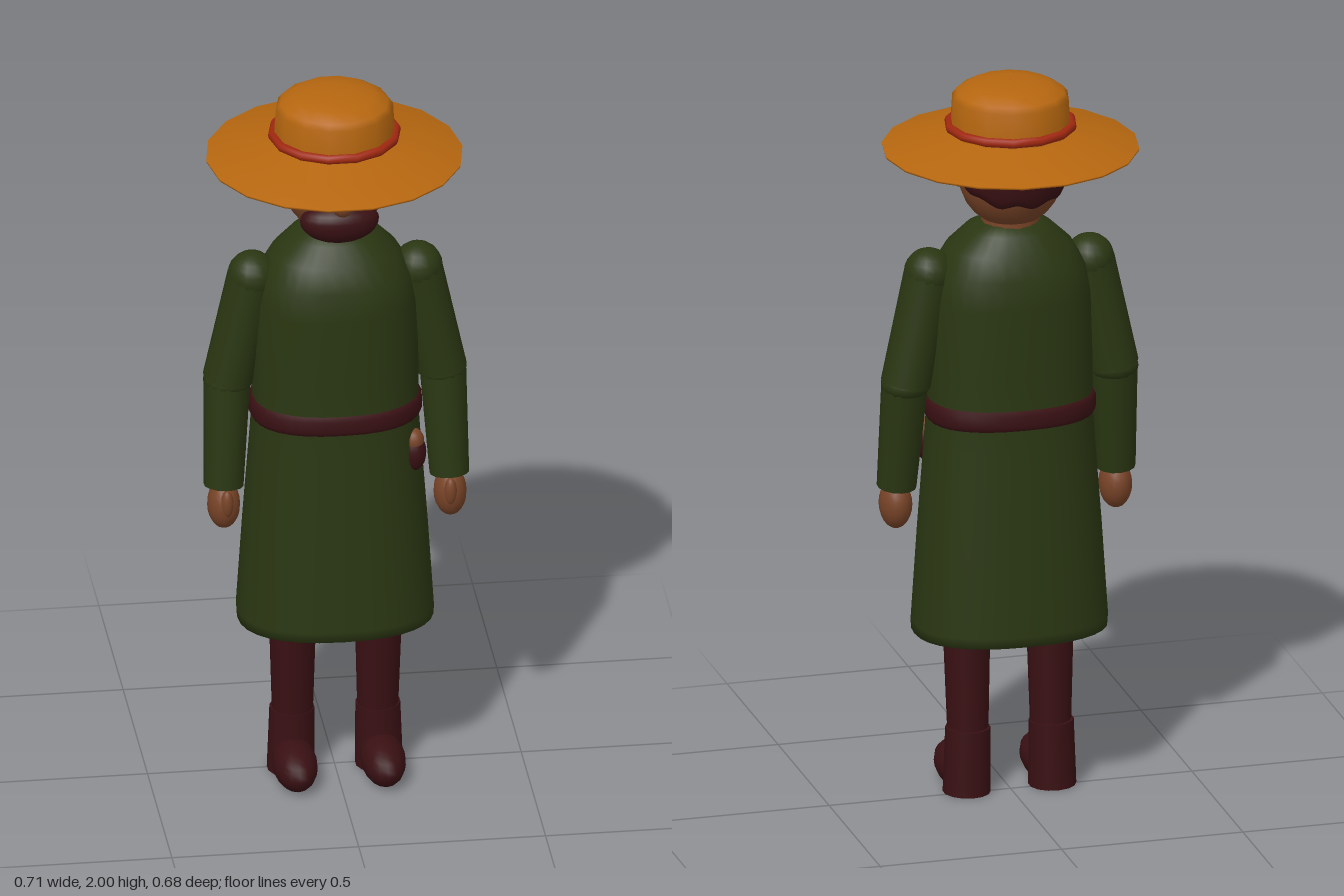
import * as THREE from 'three';

const mat = (name, color, side = THREE.FrontSide) => {
  const m = new THREE.MeshStandardMaterial({ color, side });
  m.name = name;
  return m;
};

export function createModel() {
  const root = new THREE.Group();
  root.name = 'farmer';
  const straw = mat('straw', 0xb5660f, THREE.DoubleSide);
  const red = mat('hatBandRed', 0xa02810);
  const green = mat('coatGreen', 0x2a3612);
  const leather = mat('darkBrown', 0x391013, THREE.DoubleSide);
  const skin = mat('skin', 0x774327);
  const black = mat('eyeBlack', 0x1c0808);

  const add = (name, geo, material, x = 0, y = 0, z = 0, parent = root) => {
    const m = new THREE.Mesh(geo, material);
    m.name = name;
    m.position.set(x, y, z);
    parent.add(m);
    return m;
  };
  const ball = (name, material, p, r, parent = root, seg = 16) => {
    const m = add(name, new THREE.SphereGeometry(1, seg, 12), material, ...p, parent);
    m.scale.set(...r);
    return m;
  };
  // Tapered limb between two points
  const limb = (name, material, a, b, ra, rb, parent) => {
    const A = new THREE.Vector3(...a), B = new THREE.Vector3(...b);
    const d = A.clone().sub(B);
    const m = add(name, new THREE.CylinderGeometry(ra, rb, d.length(), 14), material, 0, 0, 0, parent);
    m.position.copy(A).add(B).multiplyScalar(0.5);
    m.quaternion.setFromUnitVectors(new THREE.Vector3(0, 1, 0), d.normalize());
    return m;
  };
  // Closed loft through rounded-oval rings [y, half width, half depth, z centre], bottom to top
  const loft = (rings, seg = 32, power = 0.85) => {
    const pos = [], idx = [];
    const curve = (v) => Math.sign(v) * Math.abs(v) ** power;
    for (const [y, rx, rz, cz] of rings)
      for (let i = 0; i < seg; i++) {
        const t = (i / seg) * Math.PI * 2;
        pos.push(rx * curve(Math.sin(t)), y, cz + rz * curve(Math.cos(t)));
      }
    for (let j = 0; j < rings.length - 1; j++)
      for (let i = 0; i < seg; i++) {
        const a = j * seg + i, b = j * seg + (i + 1) % seg;
        idx.push(a, b, a + seg, b, b + seg, a + seg);
      }
    const g = new THREE.BufferGeometry();
    g.setAttribute('position', new THREE.Float32BufferAttribute(pos, 3));
    g.setIndex(idx);
    g.computeVertexNormals();
    return g;
  };

  // Long coat with a closed hem and rounded shoulders
  add('coat', loft([
    [0.47, 0.001, 0.001, 0.012], [0.46, 0.24, 0.17, 0.012], [0.462, 0.262, 0.189, 0.012],
    [0.49, 0.263, 0.19, 0.012], [0.75, 0.246, 0.179, 0.012], [1.0, 0.227, 0.168, 0.013],
    [1.09, 0.221, 0.163, 0.013], [1.2, 0.222, 0.165, 0.013], [1.4, 0.217, 0.167, 0.013],
    [1.48, 0.203, 0.163, 0.013], [1.54, 0.168, 0.135, 0.01], [1.59, 0.115, 0.105, 0.005],
    [1.612, 0.07, 0.07, 0], [1.615, 0.001, 0.001, 0],
  ]), green);
  add('belt', loft([
    [1.058, 0.2, 0.14, 0.013], [1.06, 0.222, 0.163, 0.013], [1.075, 0.231, 0.17, 0.013],
    [1.105, 0.231, 0.17, 0.013], [1.12, 0.222, 0.163, 0.013], [1.122, 0.2, 0.14, 0.013],
  ]), leather);

  // Pouch with a skin-toned flap
  const pouch = new THREE.Group();
  pouch.name = 'pouch';
  root.add(pouch);
  ball('pouchBody', leather, [0.2, 0.965, 0.1], [0.033, 0.053, 0.035], pouch);
  ball('pouchTop', skin, [0.2, 1.0, 0.1], [0.027, 0.034, 0.03], pouch);

  for (const s of [1, -1]) {
    const side = s > 0 ? 'left' : 'right';
    // Arm
    const arm = new THREE.Group();
    arm.name = side + 'Arm';
    root.add(arm);
    const shoulder = [s * 0.222, 1.475, 0.013], elbow = [s * 0.287, 1.17, 0.008];
    ball('shoulder', green, shoulder, [0.066, 0.067, 0.068], arm);
    limb('upperSleeve', green, shoulder, elbow, 0.066, 0.067, arm);
    ball('elbow', green, elbow, [0.066, 0.045, 0.067], arm);
    limb('lowerSleeve', green, [s * 0.288, 1.19, 0.008], [s * 0.302, 0.872, 0.043], 0.063, 0.053, arm);
    ball('hand', skin, [s * 0.303, 0.82, 0.05], [0.044, 0.068, 0.056], arm);
    ball('thumb', skin, [s * 0.299, 0.838, 0.094], [0.017, 0.04, 0.018], arm);

    // Leg and boot
    const leg = new THREE.Group();
    leg.name = side + 'Leg';
    root.add(leg);
    limb('trouserLeg', leather, [s * 0.115, 0.52, 0.024], [s * 0.114, 0.15, 0.012], 0.065, 0.054, leg);
    limb('bootShaft', leather, [s * 0.115, 0.187, 0.01], [s * 0.118, 0.005, 0.01], 0.06, 0.064, leg);
    const toe = new THREE.SphereGeometry(1, 16, 12);
    const p = toe.attributes.position;
    for (let i = 0; i < p.count; i++) p.setY(i, Math.max(p.getY(i), -0.8));
    toe.computeVertexNormals();
    add('bootToe', toe, leather, s * 0.118, 0.055, 0.09, leg).scale.set(0.06, 0.062, 0.12);

    // Ear and eye
    ball(side + 'Ear', skin, [s * 0.143, 1.76, 0.008], [0.016, 0.048, 0.03]);
    ball(side + 'Eye', black, [s * 0.05, 1.786, 0.127], [0.013, 0.026, 0.012]);
  }

  // Head
  ball('head', skin, [0, 1.74, 0], [0.141, 0.145, 0.141], root, 24);
  limb('neck', skin, [0, 1.66, 0], [0, 1.58, 0], 0.075, 0.08, root);
  ball('nose', skin, [0, 1.748, 0.168], [0.031, 0.036, 0.037]);

  // Beard: flattened ellipsoid with a level top edge
  const beardGeo = new THREE.SphereGeometry(1, 20, 14);
  const bp = beardGeo.attributes.position;
  for (let i = 0; i < bp.count; i++) {
    const y = bp.getY(i);
    if (y > 0) bp.setY(i, y * 0.75);
  }
  beardGeo.computeVertexNormals();
  const beard = add('beard', beardGeo, leather, 0, 1.672, 0.105);
  beard.scale.set(0.106, 0.064, 0.06);
  beard.rotation.x = -0.15;

  // Hair shell around the back, with a wavy lower edge tucked into the head
  const cols = 28, rows = 8, hp = [], hi = [];
  for (let j = 0; j <= rows; j++)
    for (let i = 0; i <= cols; i++) {
      const a = -1.62 + (i / cols) * 3.24;
      const low = 1.69 + 0.085 * (Math.abs(a) / 1.62) ** 3 + 0.007 * Math.sin(a * 9);
      const y = 1.85 + (low - 1.85) * Math.min(j, rows - 1) / (rows - 1);
      const edge = j === rows || i === 0 || i === cols;
      const r = (edge ? 0.13 : 0.16) * Math.sqrt(1 - ((y - 1.765) / 0.17) ** 2);
      hp.push(Math.sin(a) * r * 0.94, y, -0.006 - Math.cos(a) * r);
    }
  for (let j = 0; j < rows; j++)
    for (let i = 0; i < cols; i++) {
      const a = j * (cols + 1) + i, b = a + cols + 1;
      hi.push(a, a + 1, b, a + 1, b + 1, b);
    }
  const hairGeo = new THREE.BufferGeometry();
  hairGeo.setAttribute('position', new THREE.Float32BufferAttribute(hp, 3));
  hairGeo.setIndex(hi);
  hairGeo.computeVertexNormals();
  add('hair', hairGeo, leather);

  // Hat
  const hat = new THREE.Group();
  hat.name = 'hat';
  root.add(hat);
  const lathe = (name, pts, seg) => {
    const g = new THREE.LatheGeometry(pts.map((q) => new THREE.Vector2(...q)), seg);
    add(name, g, straw, 0, 0, 0, hat).rotation.y = Math.PI / seg;
  };
  lathe('hatBrim', [[0.001, 1.838], [0.15, 1.835], [0.25, 1.825], [0.342, 1.81],
    [0.343, 1.816], [0.25, 1.84], [0.165, 1.862], [0.15, 1.866]], 18);
  lathe('hatCrown', [[0.165, 1.855], [0.161, 1.89], [0.157, 1.955], [0.145, 1.97],
    [0.11, 1.99], [0.055, 1.999], [0.001, 2.0]], 14);
  const band = add('hatBand', new THREE.TorusGeometry(0.165, 0.013, 8, 14), red, 0, 1.878, 0, hat);
  band.rotation.set(-Math.PI / 2, 0, Math.PI / 14 + Math.PI / 2);

  return root;
}
